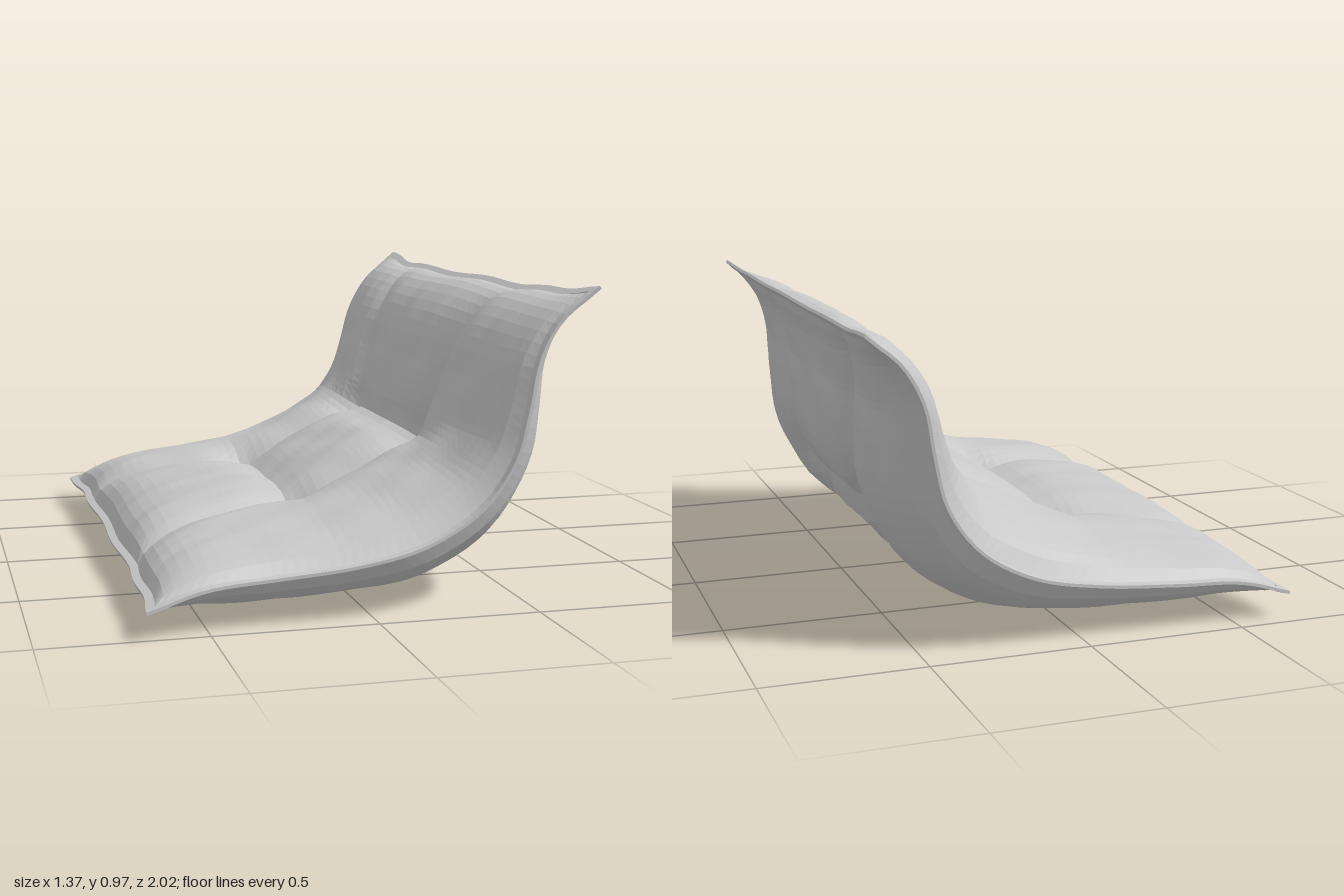
import * as THREE from 'three';

const NU = 50, NV = 60;          // grid steps along the bend and across the width
const TUFT_U = [0.32, 0.64];     // rows of tufts
const TUFT_V = 0.4;              // columns of tufts (mirrored)

// side profile of the cushion's middle layer
const spine = new THREE.CatmullRomCurve3([
  [-0.66, 0.115], [-0.5, 0.145], [-0.3, 0.157], [-0.05, 0.182], [0.17, 0.235], [0.34, 0.335],
  [0.44, 0.475], [0.482, 0.64], [0.51, 0.78], [0.572, 0.895], [0.667, 0.978],
].map(([x, y]) => new THREE.Vector3(x, y, 0)));
spine.arcLengthDivisions = 600;
const LENGTH = spine.getLength();

const bump = (d, r) => Math.exp(-Math.pow(Math.abs(d) / r, 1.3));

// width position: columns bow outwards beyond the tuft rows
function widthAt(u, v) {
  const a = Math.abs(v);
  const out = Math.max(0, (TUFT_U[0] - u) / 0.32, (u - TUFT_U[1]) / 0.36);
  const groove = (v < 0 ? 0.415 : 0.365) + 0.15 * Math.pow(out, 1.3);
  const w = a < TUFT_V ? (a / TUFT_V) * groove
    : groove + ((a - TUFT_V) / (1 - TUFT_V)) * (1 - groove);
  return Math.sign(v) * w;
}

// half thickness: pillow edge, stitched grooves, deep tufts and soft wrinkles
function thickness(u, v, side) {
  const a = Math.abs(v), w = Math.abs(widthAt(u, v)), e = Math.abs(2 * u - 1);
  const endEdge = u < 0.5 ? Math.pow(1 - e ** 5, 0.6) : Math.pow(1 - e ** 3, 0.8);
  const edge = endEdge * Math.pow(Math.max(0, 1 - w ** 4), 0.58);
  let h = (0.139 + 0.048 * Math.exp(-Math.pow((u - 0.52) / 0.19, 2))) * edge;
  const between = a < TUFT_V ? 1 : Math.exp(-(a - TUFT_V) / 0.12);
  if (side < 0 && u < 0.6) h *= 1 - 0.12 * bump(a / TUFT_V, 1);
  h *= 1 - 0.42 * bump(a - TUFT_V, 0.07);
  for (const t of TUFT_U) {
    const d = u - t;
    h *= 1 - 0.34 * between * bump(d, 0.05);
    h *= 1 - 0.65 * bump(Math.hypot(d * LENGTH, (a - TUFT_V) * 0.96), 0.065);
  }
  const wrinkle = Math.sin(31 * u + 9 * v + side) * Math.sin(23 * v - 14 * u)
    + 0.6 * Math.sin(57 * v + 11 * u * side) * e ** 3;
  return h + 0.003 * wrinkle * Math.min(1, edge * 1.5) + 0.004;
}

// point on the layer; out pushes past the border, offset moves along the normal
function place(u, v, offset, outU = 0, outV = 0) {
  const p = spine.getPointAt(u), t = spine.getTangentAt(u);
  const e = 2 * u - 1, sag = u < 0.5 ? 0.02 : 0.04;
  const slide = Math.sign(e) * (outU - sag * (1 - v ** 4) * Math.abs(e) ** 6
    + 0.005 * Math.sin(13 * v) * Math.abs(e) ** 6);
  const lift = 0.02 * Math.abs(v) ** 6 * (1 - u) * (1 - e ** 8) + offset;
  const half = 0.968 - 0.022 * (1 - e ** 6) + 0.005 * Math.sin(17 * u + v);
  const z = widthAt(u, v) * half + Math.sign(v) * outV + 0.01 - 0.04 * u;
  return [p.x + t.x * slide - t.y * lift, p.y + t.y * slide + t.x * lift, z];
}

function geometryFrom(positions, index) {
  const g = new THREE.BufferGeometry();
  g.setAttribute('position', new THREE.Float32BufferAttribute(positions, 3));
  g.setIndex(index);
  g.computeVertexNormals();
  return g;
}

// one puffed face: side 1 is the sitting face, -1 the underside
function panel(side) {
  const pos = [], idx = [];
  for (let i = 0; i <= NU; i++) {
    for (let j = 0; j <= NV; j++) {
      const u = i / NU, v = (2 * j) / NV - 1;
      pos.push(...place(u, v, side * thickness(u, v, side)));
      if (i === NU || j === NV) continue;
      const a = i * (NV + 1) + j, b = a + 1, c = a + NV + 1, d = c + 1;
      if (side > 0) idx.push(a, b, c, b, d, c);
      else idx.push(a, c, b, b, c, d);
    }
  }
  return geometryFrom(pos, idx);
}

// flat sewn hem running round the border
function hem() {
  const loop = [], pos = [], idx = [];
  for (let i = 0; i < NU; i++) loop.push([i / NU, -1]);
  for (let j = 0; j < NV; j++) loop.push([1, (2 * j) / NV - 1]);
  for (let i = NU; i > 0; i--) loop.push([i / NU, 1]);
  for (let j = NV; j > 0; j--) loop.push([0, (2 * j) / NV - 1]);
  const n = loop.length;
  const section = [[-0.006, 0.008], [0.022, 0.005], [0.022, -0.005], [-0.006, -0.008]];
  loop.forEach(([u, v], k) => {
    const ou = u === 0 || u === 1 ? 1 : 0, ov = Math.abs(v) === 1 ? 1 : 0;
    for (const [out, off] of section) pos.push(...place(u, v, off, ou * out, ov * out));
    for (let s = 0; s < 4; s++) {
      const a = k * 4 + s, b = k * 4 + (s + 1) % 4;
      const c = ((k + 1) % n) * 4 + s, d = ((k + 1) % n) * 4 + (s + 1) % 4;
      idx.push(a, b, c, b, d, c);
    }
  });
  return geometryFrom(pos, idx);
}

export function createModel() {
  const fabric = new THREE.MeshStandardMaterial({ color: 0xc8c8c8, flatShading: true, side: THREE.DoubleSide });
  fabric.name = 'light grey fabric';
  const cushion = new THREE.Group();
  cushion.name = 'foldedCushion';
  const add = (name, geometry) => {
    const mesh = new THREE.Mesh(geometry, fabric);
    mesh.name = name;
    cushion.add(mesh);
  };
  add('sittingFace', panel(1));
  add('underside', panel(-1));
  add('hem', hem());

  // centre on the ground
  const box = new THREE.Box3().setFromObject(cushion);
  const mid = box.getCenter(new THREE.Vector3());
  cushion.position.set(-mid.x, -box.min.y, -mid.z);
  const model = new THREE.Group();
  model.name = 'floorCushion';
  model.add(cushion);
  return model;
}
